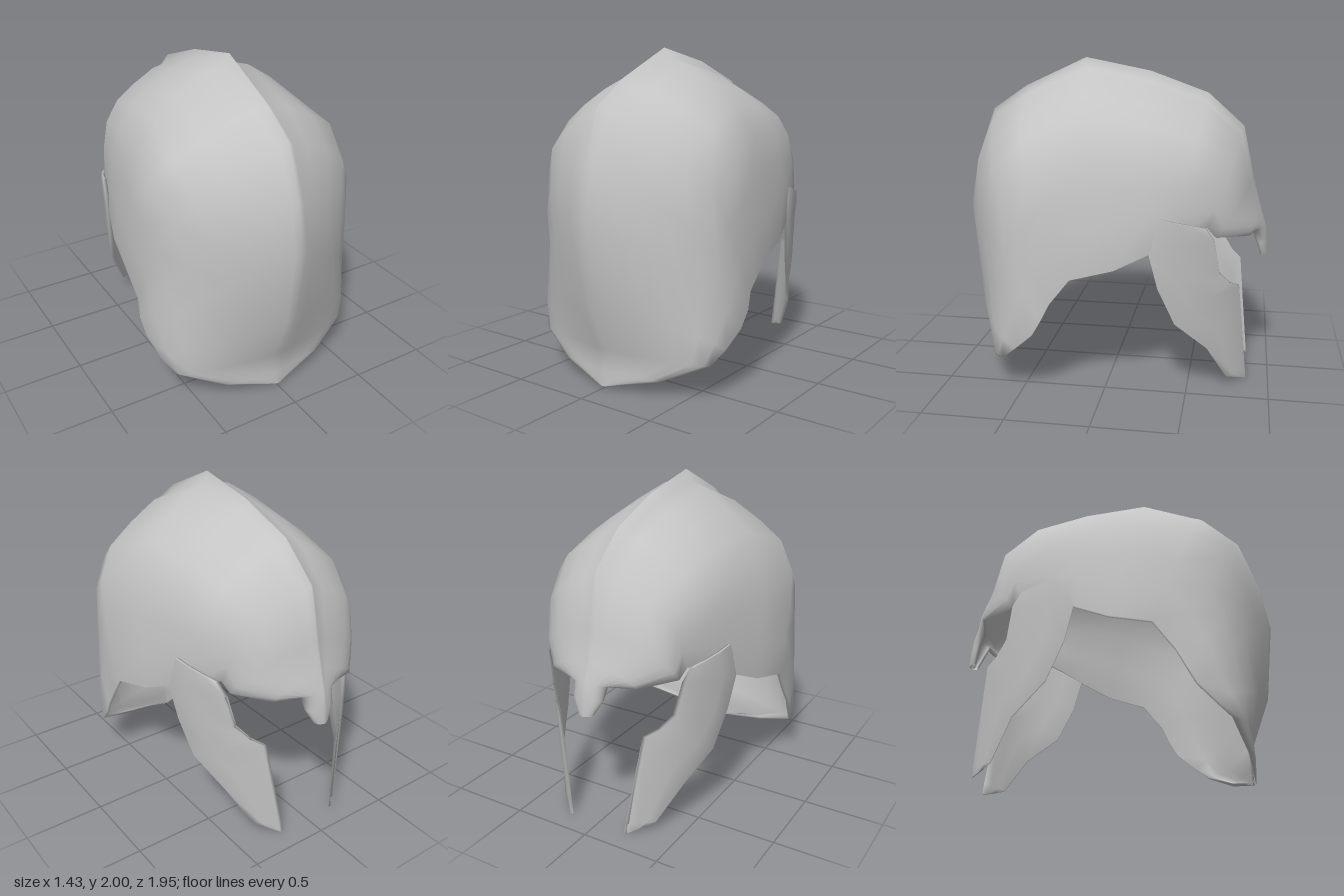
import * as THREE from 'three';
import { mergeVertices } from 'three/addons/utils/BufferGeometryUtils.js';

// Stations from nose to neck guard:
// rim x, y, z | crest y, z | keel height | profile blend (0 domed, 1 pointed)
const STATIONS = [
  [0.05, 0.78, -0.925, 0.775, -0.97, 0, 0.3],
  [0.1, 0.87, -0.9, 0.87, -0.965, 0, 0.3],
  [0.11, 0.945, -0.87, 0.97, -0.95, 0, 0.5],
  [0.29, 0.965, -0.85, 1.1, -0.91, 0.01, 0.8],
  [0.45, 0.985, -0.66, 1.27, -0.865, 0.02, 0.4],
  [0.475, 1.05, -0.61, 1.59, -0.795, 0.04, 0.2],
  [0.565, 0.98, -0.42, 1.79, -0.57, 0.05, 0],
  [0.61, 0.91, -0.28, 1.92, -0.21, 0.06, 0],
  [0.67, 0.82, -0.08, 2.0, 0.2, 0.065, 0],
  [0.715, 0.765, 0.17, 1.82, 0.59, 0.05, -0.25],
  [0.7, 0.6, 0.3, 1.67, 0.81, 0.04, -0.05],
  [0.715, 0.5, 0.35, 1.35, 0.93, 0.015, 0.45],
  [0.705, 0.4, 0.41, 1.04, 0.975, 0, 0.85],
  [0.675, 0.3, 0.52, 0.55, 0.92, 0, 0.8],
  [0.63, 0.22, 0.61, 0.25, 0.81, 0, 0.8],
  [0.36, 0.1, 0.73, 0.12, 0.81, 0, 0.7],
  [0.02, 0.02, 0.81, 0.02, 0.815, 0, 0],
];
// Half profiles: fraction of the way to the crest, fraction of the rim width
const DOMED = [[0, 1], [0.2, 0.98], [0.4, 0.945], [0.6, 0.87], [0.76, 0.71], [0.87, 0.48], [0.97, 0.22], [1, 0.06]];
const POINTED = [[0, 1], [0.2, 0.96], [0.38, 0.85], [0.56, 0.66], [0.7, 0.48], [0.83, 0.31], [0.93, 0.16], [1, 0.05]];
const lerp = THREE.MathUtils.lerp;

// One arch from the +x rim over the crest to the -x rim
function arch([w, ry, rz, ty, tz, keel, blend]) {
  const len = Math.hypot(ty - ry, tz - rz);
  const half = DOMED.map(([s, f], i) => {
    const t = lerp(s, POINTED[i][0], blend) * (1 - keel / len);
    return [w * lerp(f, POINTED[i][1], blend), lerp(ry, ty, t), lerp(rz, tz, t)];
  });
  const mirrored = half.map(([x, y, z]) => [-x, y, z]).reverse();
  return [...half, [0, ty, tz], ...mirrored];
}

// Joins equal rows of points into a smooth surface
function loft(rows) {
  const n = rows[0].length;
  const index = [];
  for (let i = 0; i < rows.length - 1; i++) {
    for (let j = 0; j < n - 1; j++) {
      const a = i * n + j, b = a + n;
      index.push(a, a + 1, b, a + 1, b + 1, b);
    }
  }
  const geo = new THREE.BufferGeometry();
  geo.setAttribute('position', new THREE.Float32BufferAttribute(rows.flat(2), 3));
  geo.setIndex(index);
  return geo;
}

// Welds seams so the shading rolls over the rims
function smooth(geo) {
  const welded = mergeVertices(geo);
  welded.computeVertexNormals();
  return welded;
}

// Outer shell plus an inner wall set back along the normals, joined at the rim
function bowlGeometry() {
  const outer = STATIONS.map(arch);
  const skin = loft(outer);
  skin.computeVertexNormals();
  const normal = skin.attributes.normal;
  const wall = 0.022;
  const rings = outer.map((row, i) => {
    const inner = row.map(([x, y, z], j) => {
      const k = i * row.length + j;
      return [x - wall * normal.getX(k), y - wall * normal.getY(k), z - wall * normal.getZ(k)];
    });
    return [...row, ...inner.reverse(), row[0]];
  });
  return smooth(loft(rings));
}

// Cheek guard from hinge to tip: rear edge forward, height | front edge forward, height
const CHEEK = [
  [0.34, 1.12, 0.6, 1.05],
  [0.28, 0.91, 0.65, 0.97],
  [0.33, 0.7, 0.68, 0.77],
  [0.43, 0.47, 0.74, 0.69],
  [0.62, 0.29, 0.8, 0.65],
  [0.74, 0.06, 0.855, 0.07],
  [0.8, 0.03, 0.86, 0.005],
];
// Distance forward, distance from the centre plane
const BEND = [[0.28, 0.615], [0.45, 0.57], [0.65, 0.475], [0.74, 0.385], [0.86, 0.26]];

// Curves forwards and leans inwards below the hinge
function bend(u, y) {
  const i = Math.max(1, BEND.findIndex(([limit]) => u <= limit + 1e-6));
  const [u0, x0] = BEND[i - 1], [u1, x1] = BEND[i];
  return lerp(x0, x1, (u - u0) / (u1 - u0)) - 0.06 * Math.max(0, 1 - y);
}

// Thin plate curving inwards towards the chin, as closed rings around the plate
function cheekGeometry(side) {
  const columns = [0, 0.33, 0.67, 1];
  const ring = ([u0, y0, u1, y1], thickness) => {
    const face = (offset) => columns.map((t) => {
      const u = lerp(u0, u1, t), y = lerp(y0, y1, t);
      return [side * (bend(u, y) + offset), y, -u];
    });
    const loop = [...face(thickness), ...face(-thickness).reverse()];
    loop.push(loop[0]);
    return side > 0 ? loop.reverse() : loop;
  };
  const rows = CHEEK.map((row) => ring(row, 0.011));
  // Zero-thickness rings close the hinge and the tip
  return smooth(loft([ring(CHEEK[0], 0), ...rows, ring(CHEEK[CHEEK.length - 1], 0)]));
}

export function createModel() {
  const steel = new THREE.MeshStandardMaterial({ color: 0xc4c4c4, side: THREE.DoubleSide });
  steel.name = 'steel';
  const group = new THREE.Group();
  group.name = 'helmet';

  const add = (name, geo) => {
    const mesh = new THREE.Mesh(geo, steel);
    mesh.name = name;
    group.add(mesh);
  };
  // Bowl, brow, nose guard and neck guard are one continuous shell
  add('bowl', bowlGeometry());
  add('leftCheekGuard', cheekGeometry(1));
  add('rightCheekGuard', cheekGeometry(-1));
  return group;
}
